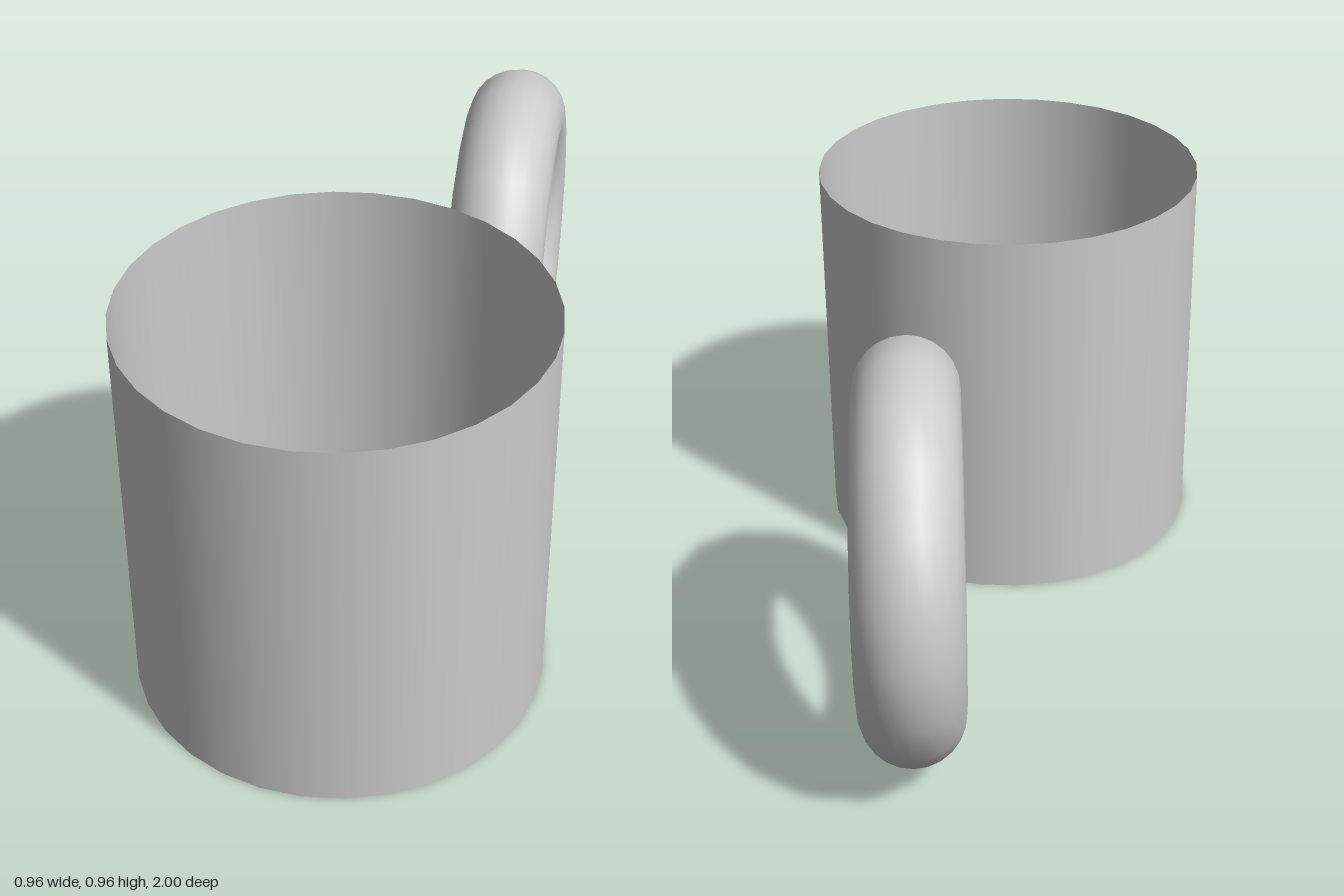
import * as THREE from 'three';

const RADIUS = 0.482; // shared outer radius of both parts

export function createModel() {
  const model = new THREE.Group();
  const material = new THREE.MeshStandardMaterial({ color: 0xcccccc, side: THREE.DoubleSide });

  // Thin tube without caps, standing at the front
  const openCylinder = new THREE.Mesh(
    new THREE.CylinderGeometry(RADIUS, RADIUS, 2 * RADIUS, 32, 1, true), material);
  openCylinder.name = 'openCylinder';
  openCylinder.position.set(0, RADIUS, 1 - RADIUS);
  model.add(openCylinder);

  // Upright ring behind it, its axis along x
  const tube = 0.12;
  const ring = new THREE.Mesh(new THREE.TorusGeometry(RADIUS - tube, tube, 24, 20), material);
  ring.name = 'ring';
  ring.rotation.y = Math.PI / 2;
  ring.position.set(0.26, RADIUS, RADIUS - 1);
  model.add(ring);

  return model;
}
